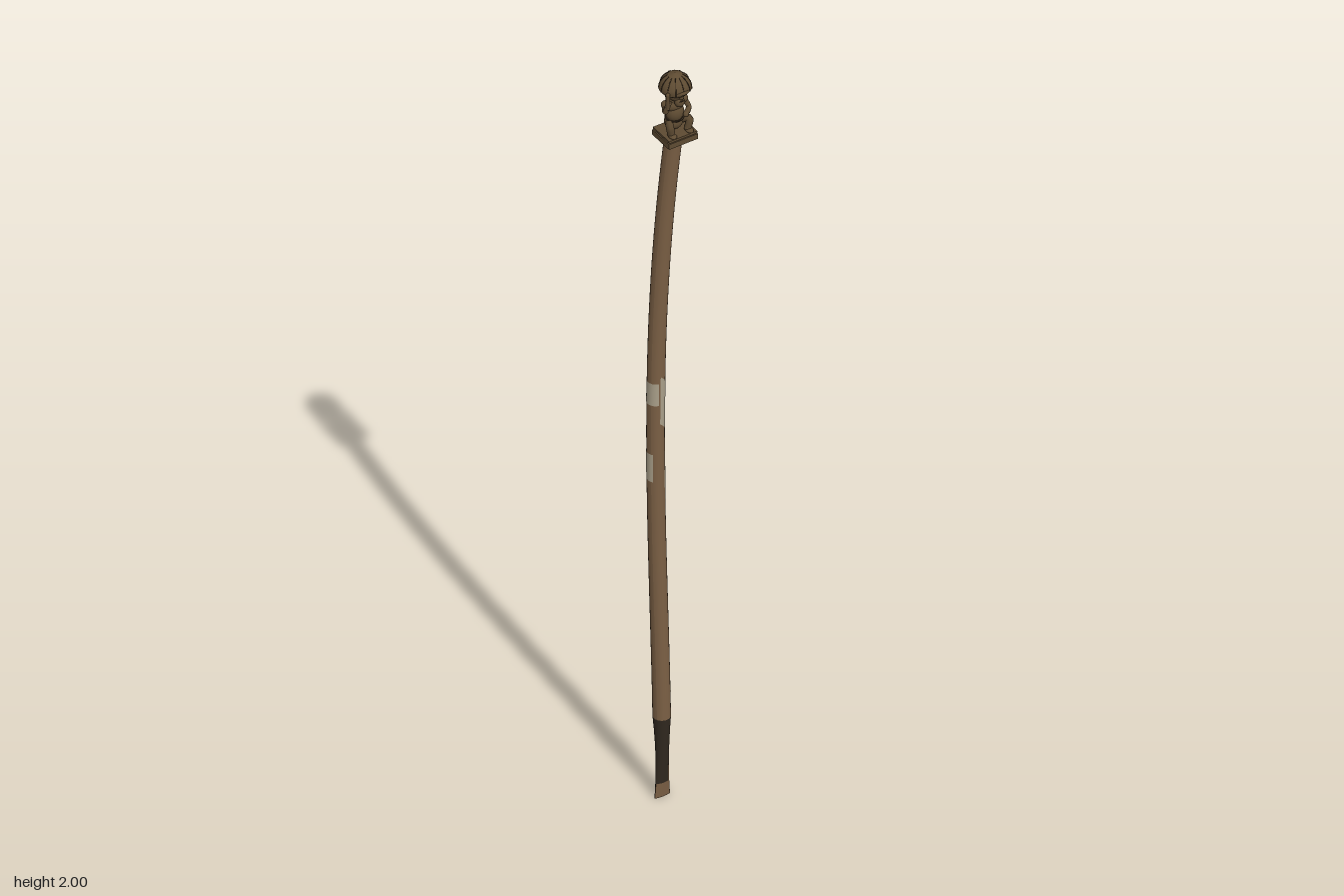
import * as THREE from 'three';

const mat = (name, color) => Object.assign(new THREE.MeshStandardMaterial({ color }), { name });
const DEG = Math.PI / 180;

// Sideways sway of the staff at height y: a smooth curve through five points.
const sway = [[0, -0.024], [0.5, -0.032], [1, -0.041], [1.4, -0.031], [1.85, 0.008]];
const bend = (y) => sway.reduce((sum, [yi, xi]) =>
  sum + sway.reduce((p, [yj]) => (yj === yi ? p : p * (y - yj) / (yi - yj)), xi), 0);

const FACING = 64 * DEG; // direction the figure and the flat of the tip face
const TIP = 0.22, R = 0.0205;

// Part of the staff's skin, from height y0 to y1 and angle a0 to a1 (0 is front, 90 is +x).
function skin(y0, y1, a0, a1, lift = 0, skew = 0) {
  const rows = Math.max(3, Math.ceil((y1 - y0) * 24));
  const g = new THREE.CylinderGeometry(1, 1, y1 - y0, Math.max(3, Math.ceil((a1 - a0) / 15)), rows, true, a0 * DEG, (a1 - a0) * DEG);
  g.translate(0, (y0 + y1) / 2, 0);
  const p = g.attributes.position;
  for (let i = 0; i < p.count; i++) {
    const a = Math.atan2(p.getX(i), p.getZ(i)) - FACING;
    const mid = (a0 + a1) / 2 * DEG - FACING;
    const y = p.getY(i) + skew * Math.sin(a - mid);
    // Below the joint the round section flattens into a chisel that flares at its foot.
    const t = Math.max(0, (TIP - y) / TIP);
    const flat = R * (1 - 0.8 * t) + lift;
    const broad = R * (1 - 0.9 * t * (1 - t)) + lift;
    const n = Math.cos(a) * flat, u = Math.sin(a) * broad;
    p.setXYZ(i,
      bend(y) + n * Math.sin(FACING) + u * Math.cos(FACING),
      y,
      n * Math.cos(FACING) - u * Math.sin(FACING));
  }
  g.computeVertexNormals();
  return g;
}

export function createModel() {
  const model = new THREE.Group();
  const wood = mat('brown wood', 0x7a5f44);
  const carved = mat('carved dark wood', 0x5e4b32);
  const groove = mat('groove shadow brown', 0x35291c);
  const iron = mat('blackened tip', 0x30281f);
  const ivory = mat('worn ivory', 0xaaa08a);
  iron.side = ivory.side = wood.side = THREE.DoubleSide;

  const add = (parent, name, geometry, material, x = 0, y = 0, z = 0) => {
    const m = new THREE.Mesh(geometry, material);
    m.name = name;
    m.position.set(x, y, z);
    parent.add(m);
    return m;
  };

  // Staff
  add(model, 'shaft', skin(TIP, 1.83, 0, 360), wood);
  add(model, 'tipBareEdge', skin(0, TIP, 105, 165), wood);
  add(model, 'tipSheath', skin(0.04, TIP, 165, 465), iron);
  add(model, 'footFront', skin(0, 0.04, -15, 105), wood);
  add(model, 'footBack', skin(0, 0.04, 165, 345), iron);
  const sole = add(model, 'footSole', new THREE.CircleGeometry(1, 20).rotateX(Math.PI / 2), wood, bend(0), 0.001, 0);
  sole.scale.set(R, 1, R * 0.2);
  sole.rotation.y = FACING;

  // Worn patches and flecks
  const patches = [
    [1.08, 1.14, -65, 50, 0], [1.01, 1.14, 60, 155, -0.025],
    [0.87, 0.945, -80, 15, 0], [0.815, 0.945, 98, 178, 0],
  ];
  for (const [y0, y1, a0, a1, skew] of patches)
    add(model, 'wornPatch', skin(y0, y1, a0, a1, 0.0006, skew), ivory);
  for (let i = 0; i < 7; i++) {
    const y = 0.24 + i * 0.021, a = 118 + (i * 17) % 34;
    add(model, 'fleck', skin(y, y + 0.016, a, a + 7, 0.0006), ivory);
  }

  // Carved finial, built facing +z and then turned
  const figure = new THREE.Group();
  figure.name = 'carvedFigure';
  figure.position.set(0.008, 0, -0.002);
  figure.rotation.y = FACING;
  model.add(figure);

  const ball = (name, x, y, z, sx, sy, sz, material = carved) => {
    const m = add(figure, name, new THREE.SphereGeometry(1, 16, 12), material, x, y, z);
    m.scale.set(sx, sy, sz);
    return m;
  };
  const limb = (name, r, ...points) => {
    const path = new THREE.CatmullRomCurve3(points.map((p) => new THREE.Vector3(...p)));
    add(figure, name, new THREE.TubeGeometry(path, 12, r, 8), carved);
    for (const p of [points[0], points[points.length - 1]]) ball(name + 'End', ...p, r, r, r);
  };

  // Plinth
  add(figure, 'plinth', new THREE.BoxGeometry(0.076, 0.014, 0.068), carved, 0, 1.831, 0);
  add(figure, 'plinthGroove', new THREE.BoxGeometry(0.07, 0.004, 0.062), groove, 0, 1.8395, 0);
  add(figure, 'plinthTop', new THREE.BoxGeometry(0.074, 0.005, 0.066), carved, 0, 1.843, 0);
  add(figure, 'collar', new THREE.CylinderGeometry(0.026, 0.021, 0.014, 20), carved, 0, 1.819, 0);

  // Squatting body
  ball('hips', 0, 1.866, -0.006, 0.022, 0.02, 0.02);
  ball('belly', 0, 1.893, -0.002, 0.022, 0.024, 0.02);
  ball('chest', 0, 1.914, -0.004, 0.025, 0.018, 0.018);
  add(figure, 'neck', new THREE.CylinderGeometry(0.012, 0.015, 0.02, 12), carved, 0, 1.93, -0.002);
  const belt = add(figure, 'belt', new THREE.TorusGeometry(0.0205, 0.002, 6, 24).rotateX(Math.PI / 2), groove, 0, 1.878, -0.003);
  belt.scale.z = 0.95;
  for (const s of [-1, 1]) {
    limb('leg', 0.009, [s * 0.014, 1.864, -0.004], [s * 0.026, 1.876, 0.018], [s * 0.022, 1.852, 0.018]);
    ball('foot', s * 0.022, 1.849, 0.023, 0.009, 0.005, 0.013);
    ball('shoulder', s * 0.024, 1.92, -0.003, 0.01, 0.01, 0.01);
  }
  limb('leftArm', 0.0065, [0.025, 1.918, -0.002], [0.032, 1.898, 0.006], [0.014, 1.894, 0.022]);
  limb('rightArm', 0.0065, [-0.025, 1.918, -0.002], [-0.034, 1.913, 0.012], [-0.03, 1.94, 0.02]);
  limb('heldRod', 0.005, [-0.033, 1.928, 0.021], [-0.034, 1.966, 0.023]);

  // Head
  ball('head', 0, 1.95, 0.004, 0.02, 0.022, 0.021);
  ball('nose', 0, 1.948, 0.025, 0.005, 0.007, 0.006);
  ball('beard', 0, 1.932, 0.018, 0.012, 0.013, 0.011);
  ball('mouth', 0, 1.938, 0.0275, 0.006, 0.0015, 0.002, groove);
  for (const s of [-1, 1]) {
    ball('eye', s * 0.008, 1.953, 0.0225, 0.004, 0.003, 0.002, groove);
    ball('ear', s * 0.021, 1.947, 0, 0.005, 0.008, 0.006);
  }

  // Domed headdress with radial grooves and a brow roll
  const profile = [[0.012, 1.951], [0.031, 1.953], [0.037, 1.961], [0.035, 1.973], [0.028, 1.986], [0.016, 1.996], [0.0001, 2]];
  const dome = profile.map(([r, y]) => new THREE.Vector2(r, y));
  add(figure, 'headdress', new THREE.LatheGeometry(dome, 28), carved);
  for (let i = 0; i < 12; i++) {
    const a = i * Math.PI / 6;
    const path = new THREE.CatmullRomCurve3(profile.slice(2, 6).map(([r, y]) =>
      new THREE.Vector3(r * Math.sin(a), y, r * Math.cos(a))));
    add(figure, 'headdressGroove', new THREE.TubeGeometry(path, 8, 0.0009, 5), groove);
  }
  limb('browRoll', 0.005, [-0.028, 1.959, 0.018], [0, 1.965, 0.035], [0.028, 1.959, 0.018]);

  return model;
}
